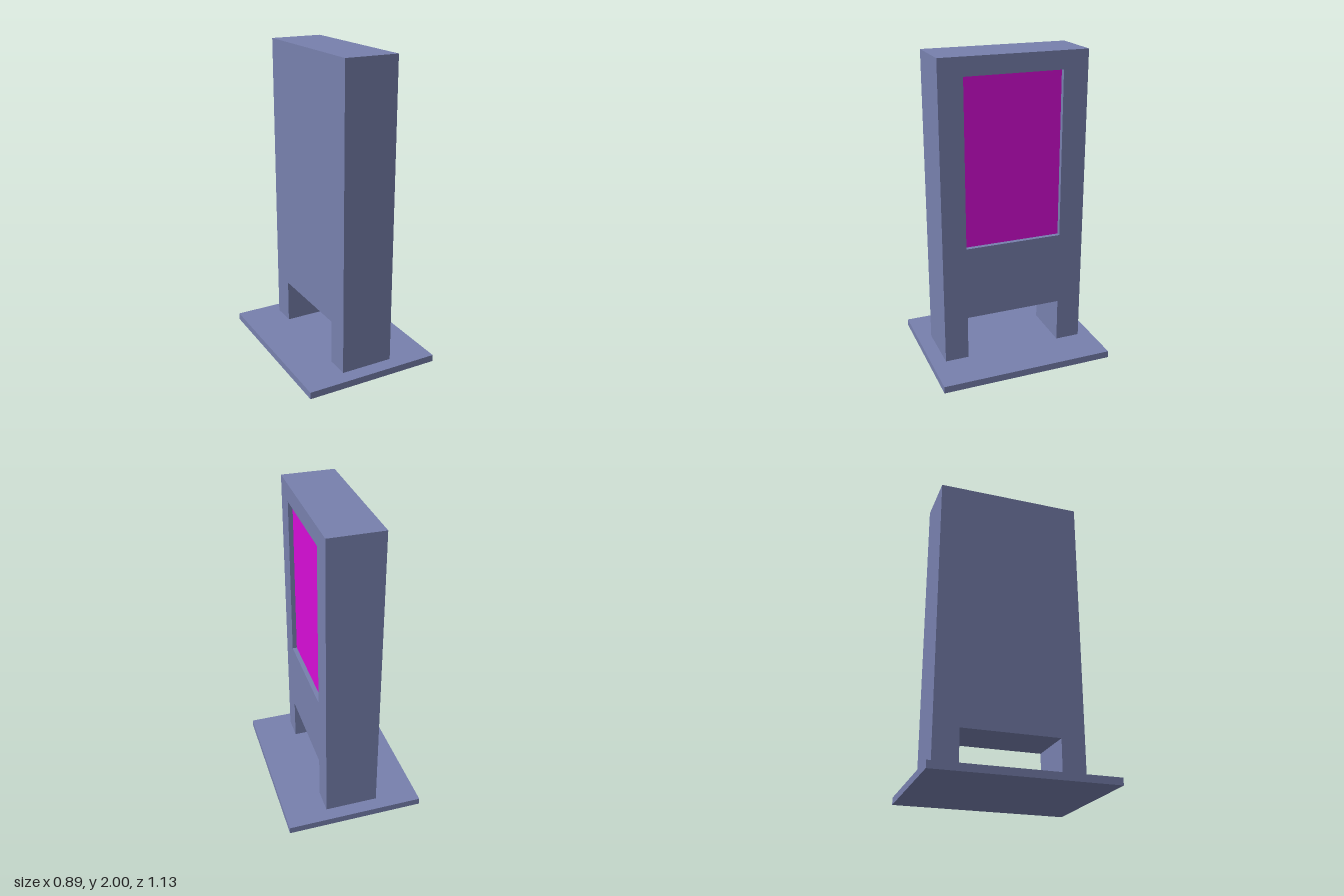
import * as THREE from 'three';

const CASING = 0x7780ad, SCREEN = 0xd60dd6;

function addMesh(group, name, geometry, color) {
  const mesh = new THREE.Mesh(geometry, new THREE.MeshStandardMaterial({ color }));
  mesh.name = name;
  group.add(mesh);
  return mesh;
}

// Rectangle outline in (-z, y)
function rectangle(Type, x0, x1, y0, y1) {
  const path = new Type();
  path.moveTo(x0, y0).lineTo(x1, y0).lineTo(x1, y1).lineTo(x0, y1).closePath();
  return path;
}

export function createModel() {
  const group = new THREE.Group();
  group.name = 'displayKiosk';

  const baseTop = 0.045, top = 2, archTop = 0.333;
  const left = -0.472, right = 0.477;              // body edges along -z
  const openLeft = -0.318, openRight = 0.315;      // shared by screen and arch
  const screenBottom = 0.813, screenTop = 1.885;
  const backX = -0.17, frontX = 0.175, recess = 0.03;

  // Floor plate
  addMesh(group, 'basePlate', new THREE.BoxGeometry(0.894, baseTop, 1.132), CASING)
    .position.y = baseTop / 2;

  // Upright outline with the arch cut between two legs
  const outline = () => new THREE.Shape([
    [left, baseTop], [openLeft, baseTop], [openLeft, archTop], [openRight, archTop],
    [openRight, baseTop], [right, baseTop], [right, top], [left, top],
  ].map(([x, y]) => new THREE.Vector2(x, y)));

  // Slab extruded along +x from a given x
  const slab = (name, shape, x, depth) => {
    const geometry = new THREE.ExtrudeGeometry(shape, { depth, bevelEnabled: false });
    geometry.rotateY(Math.PI / 2).translate(x, 0, 0);
    return addMesh(group, name, geometry, CASING);
  };

  // Solid cabinet, then a thin fascia framing the recessed screen
  slab('cabinet', outline(), backX, frontX - recess - backX);
  const fascia = outline();
  fascia.holes.push(rectangle(THREE.Path, openLeft, openRight, screenBottom, screenTop));
  slab('screenFascia', fascia, frontX - recess, recess);

  // Screen panel at the bottom of the recess
  const screen = addMesh(group, 'screen',
    new THREE.PlaneGeometry(openRight - openLeft, screenTop - screenBottom), SCREEN);
  screen.rotation.y = Math.PI / 2;
  screen.position.set(frontX - recess + 0.001, (screenBottom + screenTop) / 2, -(openLeft + openRight) / 2);

  return group;
}
